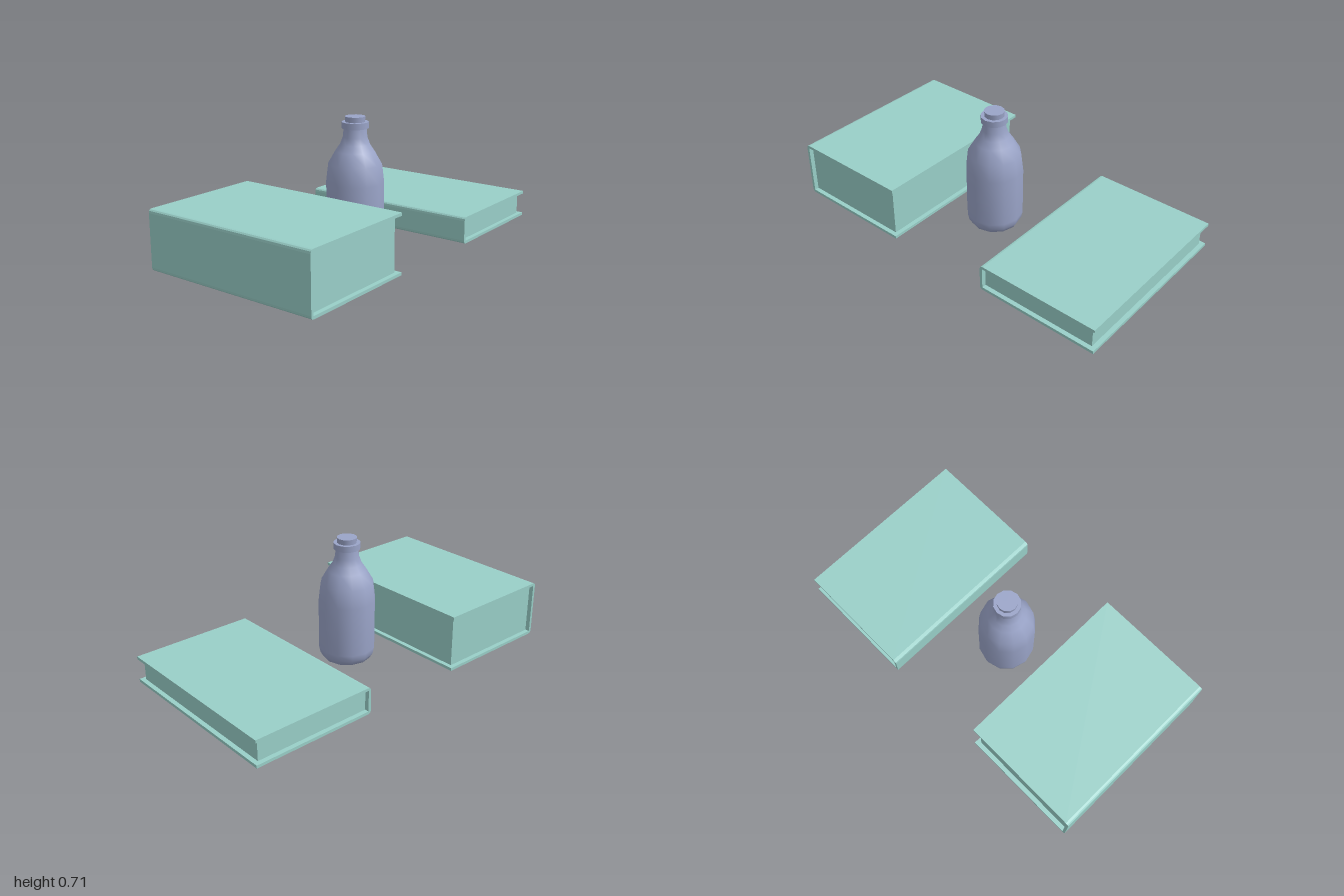
import * as THREE from 'three';

const coverMaterial = new THREE.MeshStandardMaterial({ color: 0x99cfc8 });
const glassMaterial = new THREE.MeshStandardMaterial({ color: 0x9aa4c8 });

function addMesh(parent, name, geometry, material, x = 0, y = 0, z = 0) {
  const mesh = new THREE.Mesh(geometry, material);
  mesh.name = name;
  mesh.position.set(x, y, z);
  parent.add(mesh);
  return mesh;
}

// Lying book: C-shaped cover with rounded spine corners, and an inset page block
function createBook(name, { x0, x1, y0, y1, z0, z1 }) {
  const book = new THREE.Group();
  book.name = name;
  const t = 0.016, r = 0.02, inset = 0.025;

  const profile = new THREE.Shape();
  profile.moveTo(x1, y0);
  profile.lineTo(x1, y0 + t);
  profile.lineTo(x0 + t, y0 + t);
  profile.lineTo(x0 + t, y1 - t);
  profile.lineTo(x1, y1 - t);
  profile.lineTo(x1, y1);
  profile.lineTo(x0 + r, y1);
  profile.quadraticCurveTo(x0, y1, x0, y1 - r);
  profile.lineTo(x0, y0 + r);
  profile.quadraticCurveTo(x0, y0, x0 + r, y0);
  profile.closePath();
  const cover = new THREE.ExtrudeGeometry(profile, { depth: z1 - z0, bevelEnabled: false, curveSegments: 3 });
  addMesh(book, 'cover', cover, coverMaterial, 0, 0, z0);

  const left = x0 + t, right = x1 - inset;
  const pages = new THREE.BoxGeometry(right - left, y1 - y0 - 2 * t, z1 - z0 - 2 * inset);
  addMesh(book, 'pages', pages, coverMaterial, (left + right) / 2, (y0 + y1) / 2, (z0 + z1) / 2);
  return book;
}

// Twelve-sided bottle with a collar and a stopper
function createBottle() {
  const bottle = new THREE.Group();
  bottle.name = 'bottle';
  const sides = 12;
  const lathe = (points) => new THREE.LatheGeometry(points.map(([r, y]) => new THREE.Vector2(r, y)), sides);

  addMesh(bottle, 'base', lathe([[0, 0], [0.105, 0]]), glassMaterial);
  addMesh(bottle, 'body', lathe([
    [0.105, 0], [0.133, 0.016], [0.15, 0.045], [0.157, 0.08], [0.157, 0.22], [0.157, 0.36],
    [0.145, 0.46], [0.105, 0.53], [0.08, 0.567], [0.066, 0.605], [0.061, 0.655],
  ]), glassMaterial);
  addMesh(bottle, 'collar', new THREE.CylinderGeometry(0.073, 0.073, 0.034, sides), glassMaterial, 0, 0.669, 0);
  addMesh(bottle, 'stopper', new THREE.CylinderGeometry(0.055, 0.053, 0.03, sides), glassMaterial, 0, 0.7, 0);
  bottle.position.set(-0.025, 0, 0.025);
  return bottle;
}

export function createModel() {
  const model = new THREE.Group();
  model.name = 'bottleAndBooks';
  model.add(
    createBook('thickBook', { x0: -1, x1: -0.31, y0: 0.02, y1: 0.34, z0: -0.5, z1: 0.52 }),
    createBook('thinBook', { x0: 0.3, x1: 1, y0: 0.016, y1: 0.166, z0: -0.52, z1: 0.52 }),
    createBottle(),
  );
  return model;
}
